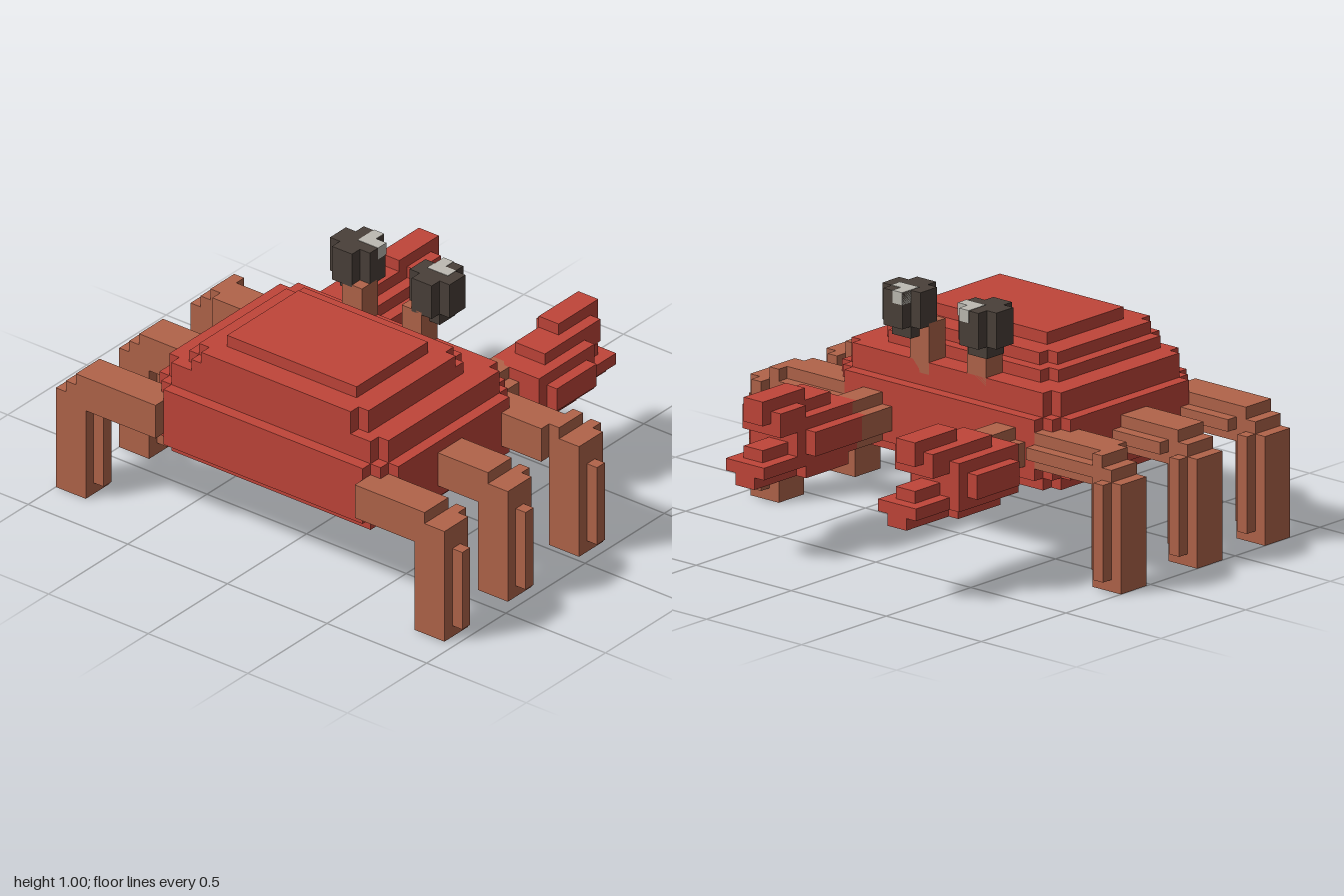
import * as THREE from 'three';

const mat = (name, color) => Object.assign(new THREE.MeshStandardMaterial({ color }), { name });

export function createModel() {
  const red = mat('shell red', 0xc04539);
  const brown = mat('limb brown', 0xb1644a);
  const dark = mat('eye dark', 0x4a4039);
  const pale = mat('eye glint', 0xbdbab2);
  const root = new THREE.Group();
  root.name = 'crab';

  const group = (name) => {
    const g = new THREE.Group();
    g.name = name;
    root.add(g);
    return g;
  };

  // Box from its lower and upper limits along each axis
  const box = (parent, name, m, x0, x1, y0, y1, z0, z1) => {
    const mesh = new THREE.Mesh(new THREE.BoxGeometry(x1 - x0, y1 - y0, z1 - z0), m);
    mesh.position.set((x0 + x1) / 2, (y0 + y1) / 2, (z0 + z1) / 2);
    mesh.name = name;
    parent.add(mesh);
  };

  // Horizontal slab whose four corners are cut in stair steps of 0.05
  const slab = (parent, name, m, x0, x1, y0, y1, z0, z1, steps) => {
    const hx = (x1 - x0) / 2, hz = (z1 - z0) / 2, s = 0.05;
    const corner = [];
    for (let i = 0; i <= steps; i++) {
      corner.push([hx - i * s, hz - (steps - i) * s]);
      if (i < steps) corner.push([hx - (i + 1) * s, hz - (steps - i) * s]);
    }
    const back = [...corner].reverse();
    const pts = [
      ...corner,
      ...back.map(([x, z]) => [-x, z]),
      ...corner.map(([x, z]) => [-x, -z]),
      ...back.map(([x, z]) => [x, -z]),
    ].map(([x, z]) => new THREE.Vector2(x, z));
    const geo = new THREE.ExtrudeGeometry(new THREE.Shape(pts), { depth: y1 - y0, bevelEnabled: false });
    geo.rotateX(-Math.PI / 2);
    const mesh = new THREE.Mesh(geo, m);
    mesh.position.set((x0 + x1) / 2, y0, (z0 + z1) / 2);
    mesh.name = name;
    parent.add(mesh);
  };

  // Stepped shell: x0, x1, y0, y1, z0, z1, corner steps
  const shell = group('shell');
  [
    [-0.725, 0.075, 0.3, 0.35, -0.55, 0.55, 1],
    [-0.775, 0.125, 0.35, 0.6, -0.6, 0.6, 2],
    [-0.725, 0.075, 0.6, 0.7, -0.55, 0.55, 1],
    [-0.725, -0.025, 0.7, 0.75, -0.45, 0.45, 1],
    [-0.725, -0.075, 0.75, 0.8, -0.4, 0.45, 1],
    [-0.625, -0.175, 0.8, 0.85, -0.3, 0.35, 0],
  ].forEach((l) => slab(shell, 'shellLayer', red, ...l));

  // Three pairs of legs; the pair beside the claws has its shins set forward
  [[-0.825, 0], [-0.425, 0], [-0.025, 0.05]].forEach(([a, shift]) => {
    const k = a + shift;
    for (const side of [1, -1]) {
      const leg = group(side > 0 ? 'leftLeg' : 'rightLeg');
      const z = side > 0 ? 0.8 : -1;
      if (side > 0) {
        box(leg, 'thigh', brown, a, a + 0.15, 0.4, 0.55, 0.5, 0.8);
        box(leg, 'thighRidge', brown, a + 0.15, a + 0.2, 0.45, 0.5, 0.5, 0.8);
        box(leg, 'kneeTop', brown, k, k + 0.15, 0.5, 0.55, 0.8, 0.85);
        box(leg, 'knee', brown, k, k + 0.15, 0.4, 0.5, 0.8, 0.95);
      } else {
        box(leg, 'thigh', brown, a, a + 0.15, 0.4, 0.55, -0.85, -0.5);
        box(leg, 'thighRidge', brown, a + 0.15, a + 0.2, 0.45, 0.5, -0.85, -0.5);
        box(leg, 'kneeTop', brown, k, k + 0.15, 0.5, 0.55, -0.9, -0.85);
        box(leg, 'kneeMiddle', brown, k, k + 0.15, 0.45, 0.5, -0.95, -0.85);
        box(leg, 'knee', brown, k, k + 0.15, 0.4, 0.45, -1, -0.85);
      }
      box(leg, 'shin', brown, k, k + 0.15, 0, 0.4, z, z + 0.15);
      box(leg, 'shinRidge', brown, k + 0.15, k + 0.2, 0.05, side > 0 ? 0.5 : 0.45, z + 0.05, z + 0.1);
      box(leg, 'shinRidge', brown, k + 0.05, k + 0.1, 0.05, 0.4, z + 0.15, z + 0.2);
    }
  });

  for (const side of [1, -1]) {
    const prefix = side > 0 ? 'left' : 'right';
    // Box given for the left side and mirrored for the right
    const sided = (parent, name, m, x0, x1, y0, y1, z0, z1) =>
      box(parent, name, m, x0, x1, y0, y1, side > 0 ? z0 : -z1, side > 0 ? z1 : -z0);

    // Arm and claw
    const claw = group(prefix + 'Claw');
    sided(claw, 'arm', brown, 0.025, 0.3, 0.35, 0.55, 0.3, 0.4);
    sided(claw, 'armSides', brown, 0.025, 0.3, 0.4, 0.5, 0.25, 0.45);
    sided(claw, 'wrist', red, 0.275, 0.625, 0.35, 0.55, 0.3, 0.55);
    sided(claw, 'palmSides', red, 0.275, 0.575, 0.4, 0.5, 0.25, 0.55);
    sided(claw, 'palmOuter', red, 0.325, 0.575, 0.4, 0.5, 0.25, 0.6);
    sided(claw, 'palmBottom', red, 0.325, 0.575, 0.3, 0.35, 0.3, 0.5);
    sided(claw, 'palmTop', red, 0.375, 0.575, 0.55, 0.6, 0.35, 0.5);
    sided(claw, 'upperPincerBase', red, 0.575, 0.725, 0.5, 0.6, 0.3, 0.5);
    sided(claw, 'upperPincer', red, 0.525, 0.725, 0.6, 0.65, 0.35, 0.45);
    sided(claw, 'upperPincerTip', red, 0.725, 0.775, 0.55, 0.65, 0.35, 0.45);
    sided(claw, 'lowerPincerTop', red, 0.575, 0.775, 0.4, 0.45, 0.35, 0.45);
    sided(claw, 'lowerPincer', red, 0.575, 0.825, 0.35, 0.4, 0.3, 0.5);
    sided(claw, 'lowerPincerBottom', red, 0.575, 0.825, 0.3, 0.35, 0.35, 0.45);

    // Eye on its stalk
    const eye = group(prefix + 'Eye');
    const z = side > 0 ? 0.1 : -0.3;
    sided(eye, 'stalk', brown, -0.025, 0.075, 0.65, 0.86, 0.1, 0.2);
    box(eye, 'eyeBase', dark, 0.025, 0.125, 0.8, 0.85, z + 0.05, z + 0.15);
    slab(eye, 'eyeball', dark, -0.025, 0.175, 0.85, 1, z, z + 0.2, 1);

    // Pale glint in the top rim of the eye
    const g = side > 0 ? 0.15 : -0.2, e = 0.002;
    box(eye, 'glint', pale, 0.075, 0.175 + e, 0.95, 1 + e, g, g + 0.05);
    box(eye, 'glint', pale, 0.075, 0.125 + e, 0.95, 1 + e, g + 0.05, g + 0.1 + e);
  }
  return root;
}
